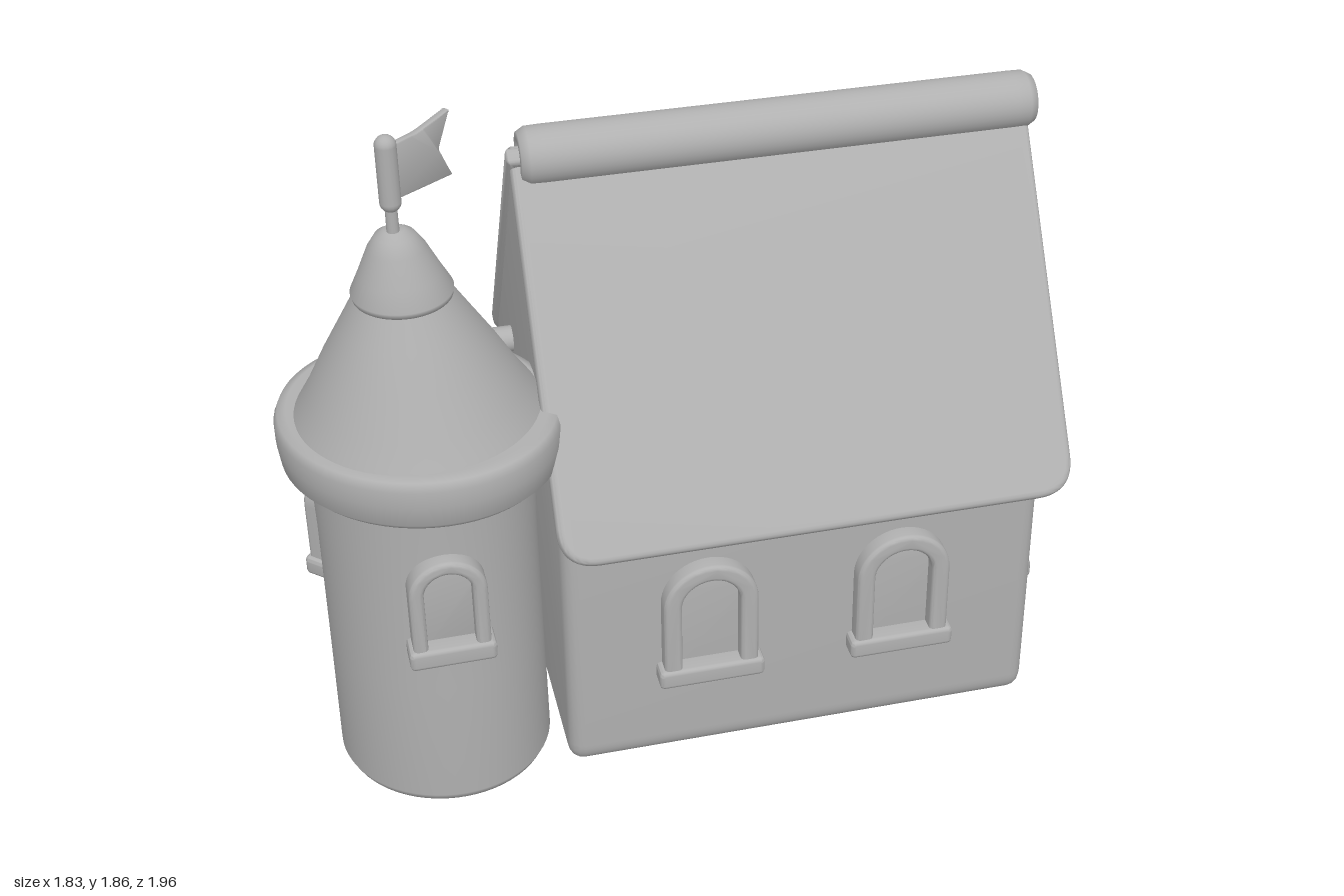
import * as THREE from 'three';
import { toCreasedNormals } from 'three/addons/utils/BufferGeometryUtils.js';

const clay = new THREE.MeshStandardMaterial({ color: 0xb0b0b0 });
clay.name = 'grey clay';

function add(parent, name, geometry, x = 0, y = 0, z = 0) {
  const mesh = new THREE.Mesh(geometry, clay);
  mesh.name = name;
  mesh.position.set(x, y, z);
  parent.add(mesh);
  return mesh;
}

function group(parent, name, x = 0, y = 0, z = 0, turn = 0) {
  const g = new THREE.Group();
  g.name = name;
  g.position.set(x, y, z);
  g.rotation.y = turn;
  parent.add(g);
  return g;
}

// Polygon whose corners [x, y, radius] are rounded off
function roundedPolygon(corners) {
  const shape = new THREE.Shape();
  const n = corners.length;
  corners.forEach(([x, y, r], i) => {
    const p = new THREE.Vector2(x, y);
    const toward = (c) => new THREE.Vector2(c[0], c[1]).sub(p).setLength(r).add(p);
    const a = toward(corners[(i + n - 1) % n]);
    const b = toward(corners[(i + 1) % n]);
    if (i === 0) shape.moveTo(a.x, a.y);
    else shape.lineTo(a.x, a.y);
    shape.quadraticCurveTo(x, y, b.x, b.y);
  });
  shape.closePath();
  return shape;
}

// Bevelled slab of total thickness t, from z = 0 to z = t
function slab(shape, t, bevel) {
  const geo = new THREE.ExtrudeGeometry(shape, {
    depth: t - 2 * bevel, bevelThickness: bevel, bevelSize: bevel,
    bevelOffset: -bevel, bevelSegments: 4, curveSegments: 12,
  });
  geo.translate(0, 0, bevel);
  return toCreasedNormals(geo, 0.6);
}

function lathe(points, segments = 64) {
  return new THREE.LatheGeometry(points.map(([r, y]) => new THREE.Vector2(r, y)), segments);
}

function arch(Type, w, bottom, h) {
  const s = new Type();
  s.moveTo(-w / 2, bottom);
  s.lineTo(w / 2, bottom);
  s.lineTo(w / 2, h - w / 2);
  s.absarc(0, h - w / 2, w / 2, 0, Math.PI, false);
  s.closePath();
  return s;
}

// Arched surround with a sunken panel; z = 0 is the wall surface
function opening(parent, name, x, y, z, turn, w, h, sill = true) {
  const g = group(parent, name, x, y, z, turn);
  const rim = w * 0.19;
  const outline = arch(THREE.Shape, w, 0, h);
  outline.holes.push(arch(THREE.Path, w - 2 * rim, sill ? 0.05 : 0.01, h - rim));
  add(g, 'archFrame', slab(outline, 0.08, 0.012), 0, 0, -0.035);
  add(g, 'panel', slab(arch(THREE.Shape, w - rim, 0.01, h - rim / 2), 0.04, 0.002), 0, 0, -0.036);
  if (sill) {
    const ledge = roundedPolygon([[-w * 0.56, 0, 0.015], [w * 0.56, 0, 0.015],
      [w * 0.56, 0.055, 0.015], [-w * 0.56, 0.055, 0.015]]);
    add(g, 'sill', slab(ledge, 0.09, 0.012), 0, 0, -0.037);
  }
  return g;
}

function buildHouse(model) {
  const house = group(model, 'house', 0.07, 0, -0.135, 0.652);

  // Walls with both gables in one prism along the ridge
  const profile = roundedPolygon([[-0.495, 0.03, 0.07], [0.495, 0.03, 0.07],
    [0.495, 0.85, 0.03], [0, 1.58, 0.03], [-0.495, 0.85, 0.03]]);
  const walls = slab(profile, 1.265, 0.04);
  walls.rotateY(Math.PI / 2);
  add(house, 'walls', walls, -0.685, 0, 0);

  // Two roof slopes
  const roof = group(house, 'roof', -0.025, 0, 0);
  const slope = slab(roundedPolygon([[-0.665, 0, 0.01], [-0.675, -1.05, 0.1],
    [0.665, -1.05, 0.1], [0.675, 0, 0.01]]), 0.05, 0.018);
  slope.translate(0, 0, -0.05);
  slope.rotateX(-0.598);
  for (const turn of [0, Math.PI]) {
    add(roof, 'roofSlope', slope, 0, 1.64, 0).rotation.y = turn;
  }

  // Rolled ridge with hollow ends
  const end = [[0, 0.62], [0.032, 0.62], [0.034, 0.655], [0.045, 0.668], [0.062, 0.666], [0.074, 0.645], [0.075, 0.61]];
  const roll = lathe([...end.map(([r, y]) => [r, -y]), ...end.reverse()], 32);
  roll.rotateZ(-Math.PI / 2);
  add(house, 'ridgeRoll', roll, 0, 1.608, 0);

  // Windows
  for (const u of [-0.31, 0.205]) opening(house, 'frontWindow', u, 0.295, 0.495, 0, 0.25, 0.375);
  for (const v of [0.23, -0.21]) opening(house, 'gableWindow', 0.58, 0.32, v, Math.PI / 2, 0.235, 0.37);
  for (const u of [0.308, -0.457]) opening(house, 'backWindow', u, 0.24, -0.495, Math.PI, 0.2, 0.3);

  // Door with a plank and a thin doorstep
  const door = opening(house, 'door', -0.07, 0.03, -0.495, Math.PI, 0.38, 0.61, false);
  for (const x of [-0.045, 0.045]) add(door, 'doorSlat', new THREE.BoxGeometry(0.012, 0.5, 0.012), x, 0.26, 0.004);
  const step = slab(roundedPolygon([[-0.205, 0, 0.02], [0.205, 0, 0.02],
    [0.205, 0.2, 0.02], [-0.205, 0.2, 0.02]]), 0.025, 0.006);
  step.rotateX(-Math.PI / 2);
  add(house, 'doorstep', step, -0.075, 0.02, -0.46);

  // Shield on a short bracket at the far gable
  const rod = new THREE.CylinderGeometry(0.035, 0.035, 0.22, 20);
  rod.rotateZ(Math.PI / 2);
  add(house, 'shieldBracket', rod, -0.77, 0.97, -0.18);
  const outline = new THREE.Shape();
  outline.moveTo(0, -0.28);
  outline.bezierCurveTo(0.14, -0.2, 0.22, -0.06, 0.22, 0.2);
  outline.quadraticCurveTo(0.1, 0.19, 0, 0.24);
  outline.quadraticCurveTo(-0.1, 0.19, -0.22, 0.2);
  outline.bezierCurveTo(-0.22, -0.06, -0.14, -0.2, 0, -0.28);
  const plate = slab(outline, 0.035, 0.01);
  plate.rotateY(-Math.PI / 2);
  add(house, 'shield', plate, -0.86, 0.94, -0.147).rotation.set(0, 0.18, -0.06);
}

function buildTower(model) {
  const tower = group(model, 'tower', -0.56, 0, 0.665);

  add(tower, 'towerWall', lathe([[0, 0.01], [0.25, 0.01], [0.272, 0.018], [0.283, 0.04],
    [0.281, 0.4], [0.28, 0.75], [0.285, 1.0]])).scale.z = 0.96;

  add(tower, 'eaveRing', lathe([[0.27, 0.955], [0.3, 0.938], [0.335, 0.945], [0.355, 0.965], [0.362, 1.02],
    [0.362, 1.065], [0.352, 1.088], [0.33, 1.095], [0.27, 1.09]])).scale.z = 0.91;

  // Conical roof and its cap, leaning slightly forward
  const lean = new THREE.Matrix4().set(1, 0.02, 0, -0.02, 0, 1, 0, 0, 0, 0.1, 1, -0.11, 0, 0, 0, 1);
  const cone = lathe([[0.315, 1.07], [0.3, 1.1], [0.265, 1.16], [0.215, 1.26], [0.16, 1.36], [0.1, 1.47]]);
  const cap = lathe([[0.1, 1.43], [0.12, 1.435], [0.123, 1.45], [0.1, 1.5], [0.07, 1.57], [0.048, 1.605], [0.025, 1.62], [0, 1.622]]);
  add(tower, 'towerRoof', cone.applyMatrix4(lean));
  add(tower, 'roofCap', cap.applyMatrix4(lean));

  // Pole with swallow-tailed flag
  const flagpole = group(tower, 'flagpole', 0.015, 0, 0.06);
  add(flagpole, 'pole', new THREE.CylinderGeometry(0.014, 0.016, 0.15, 16), 0, 1.65, 0);
  add(flagpole, 'poleTop', new THREE.CapsuleGeometry(0.026, 0.145, 6, 16), 0, 1.77, 0);
  const flag = roundedPolygon([[0, 1.70, 0.005], [0.1, 1.69, 0.02], [0.205, 1.68, 0.005],
    [0.165, 1.765, 0.005], [0.21, 1.85, 0.005], [0.1, 1.835, 0.02], [0, 1.84, 0.005]]);
  const cloth = slab(flag, 0.02, 0.005);
  cloth.translate(0, 0, -0.01);
  add(flagpole, 'flag', cloth).rotation.y = 1.36;

  // Windows around the wall
  for (const degrees of [38, -95, -177]) {
    const a = THREE.MathUtils.degToRad(degrees);
    opening(tower, 'towerWindow', Math.sin(a) * 0.277, 0.515, Math.cos(a) * 0.266, a, 0.195, 0.315);
  }
}

export function createModel() {
  const model = new THREE.Group();
  model.name = 'cottageWithTower';
  buildHouse(model);
  buildTower(model);
  return model;
}
